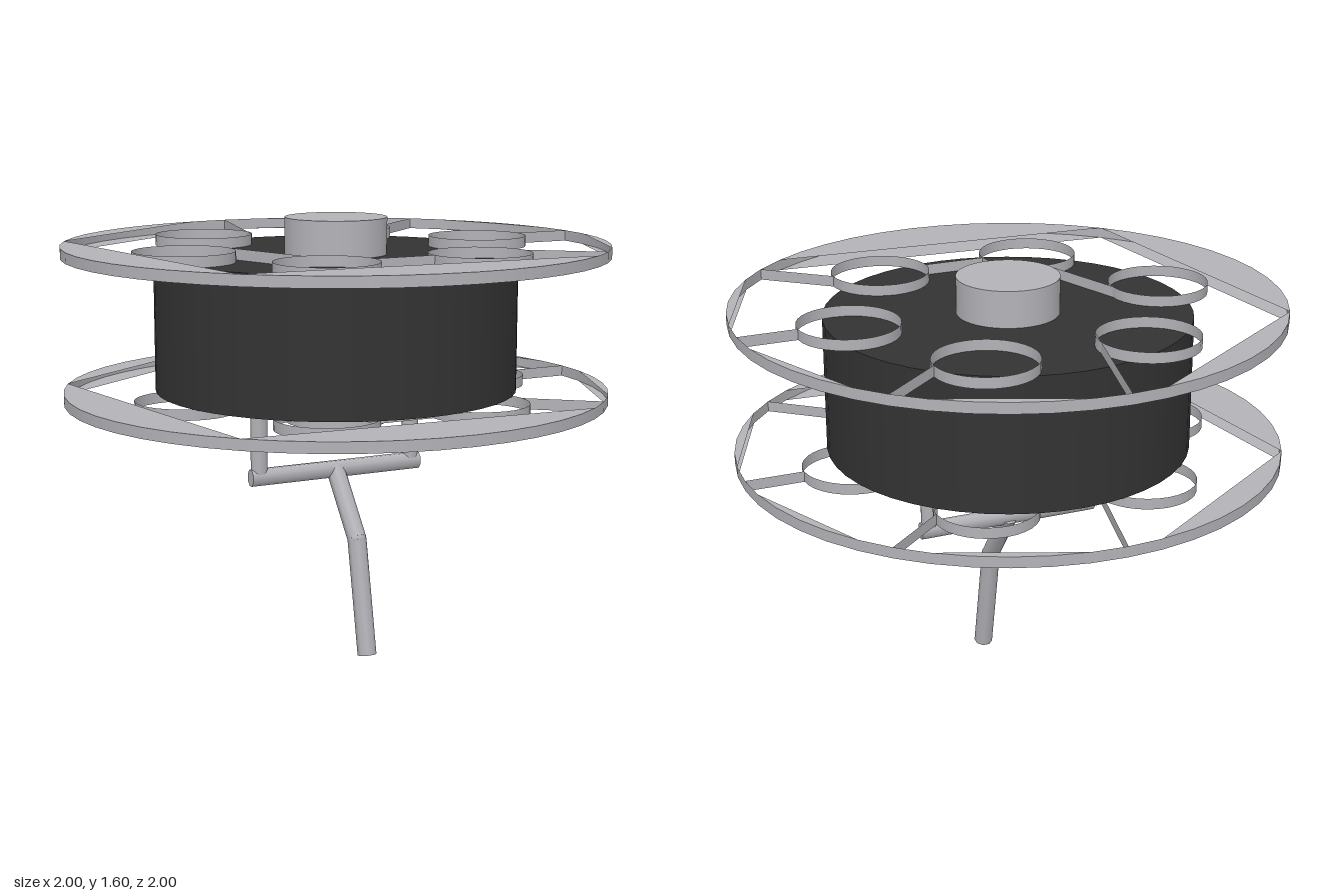
import * as THREE from 'three';

const grey = new THREE.MeshStandardMaterial({ color: 0xb3b3b8, side: THREE.DoubleSide });
grey.name = 'light grey';
const black = new THREE.MeshStandardMaterial({ color: 0x333333 });
black.name = 'charcoal';

const SEG = 48, THICK = 0.04, HOLE_R = 0.184, HOLE_DIST = 0.6;

// Point on a circle; angles in degrees, counter-clockwise seen from above
const polar = (r, deg, cx = 0, cy = 0) => {
  const a = THREE.MathUtils.degToRad(deg);
  return new THREE.Vector2(cx + r * Math.cos(a), cy + r * Math.sin(a));
};
const holeCentre = (deg) => polar(HOLE_DIST, deg);
const onHole = (hole, deg) => {
  const c = holeCentre(hole);
  return polar(HOLE_R, deg, c.x, c.y);
};

function add(parent, name, geometry, material, x = 0, y = 0, z = 0) {
  const mesh = new THREE.Mesh(geometry, material);
  mesh.name = name;
  mesh.position.set(x, y, z);
  parent.add(mesh);
  return mesh;
}

// Cylinder between two points
function rod(parent, name, a, b, radius) {
  const dir = b.clone().sub(a);
  const geo = new THREE.CylinderGeometry(radius, radius, dir.length(), 8);
  geo.rotateY(Math.PI / 8);
  const mesh = add(parent, name, geo, grey);
  mesh.position.copy(a).add(b).multiplyScalar(0.5);
  mesh.quaternion.setFromUnitVectors(new THREE.Vector3(0, 1, 0), dir.normalize());
  return mesh;
}

// Flat piece of the flange between the rim and a chord
function rimSegment(from, to) {
  const pts = [];
  for (let d = from; d <= to + 0.01; d += 360 / SEG) pts.push(polar(1, d));
  return new THREE.ShapeGeometry(new THREE.Shape(pts)).rotateX(-Math.PI / 2);
}

// Open flange: rim band, six hole bands, thin ribs and rim segments
function flange(name, y) {
  const g = new THREE.Group();
  g.name = name;
  g.position.y = y;
  const band = (r, n) => new THREE.CylinderGeometry(r, r, THICK, n, 1, true);
  add(g, 'rim', band(1, SEG), grey);

  for (let d = 0; d < 360; d += 60) {
    const c = holeCentre(d);
    add(g, 'holeBand', band(HOLE_R, 32), grey, c.x, 0, -c.y);
  }

  const ribs = [
    [onHole(0, 0), polar(1, 0)],
    [onHole(60, 0), polar(1, 45)],
    [onHole(120, 330), polar(1, 90)],
    [onHole(300, 0), polar(1, 315)],
    [onHole(240, 0), onHole(300, 180)],
    [onHole(180, 0), onHole(240, 90)],
  ];
  for (const [a, b] of ribs) {
    const d = b.clone().sub(a);
    const rib = add(g, 'rib', new THREE.PlaneGeometry(d.length(), THICK), grey,
      (a.x + b.x) / 2, 0, -(a.y + b.y) / 2);
    rib.rotation.y = d.angle();
  }

  const spans = [[97.5, 150], [150, 225], [225, 307.5], [52.5, 82.5], [7.5, 37.5], [322.5, 352.5]];
  for (const [from, to] of spans) {
    for (const side of [-1, 1]) {
      const geo = rimSegment(from, to);
      if (side < 0) geo.rotateX(Math.PI).scale(1, 1, -1).computeVertexNormals();
      // mirrored plate faces downwards
      if (side < 0) {
        const idx = geo.index.array;
        const up = geo.attributes.normal.getY(0) > 0;
        if (up) for (let i = 0; i < idx.length; i += 3) [idx[i], idx[i + 1]] = [idx[i + 1], idx[i]];
        geo.computeVertexNormals();
      }
      add(g, 'rimSegment', geo, grey, 0, side * THICK / 2, 0);
    }
  }
  return g;
}

export function createModel() {
  const model = new THREE.Group();
  model.name = 'reel';

  // Wound drum and central hub
  add(model, 'drum', new THREE.CylinderGeometry(0.665, 0.665, 0.495, SEG), black, 0, 1.2175, 0);
  add(model, 'hub', new THREE.CylinderGeometry(0.187, 0.187, 0.755, SEG), grey, 0, 1.2225, 0);

  model.add(flange('lowerFlange', 0.953), flange('upperFlange', 1.485));

  // Fork under the reel
  const V = (x, y, z) => new THREE.Vector3(x, y, z);
  for (const x of [-0.315, 0.315]) {
    rod(model, 'forkPost', V(x, 0.66, 0), V(x, 0.94, 0), 0.032).scale.z = 0.8;
  }
  rod(model, 'crossbar', V(-0.35, 0.66, 0), V(0.35, 0.66, 0), 0.033).scale.z = 0.8;

  // Bent handle
  const elbow = V(0, 0.43, 0.17);
  rod(model, 'handleUpper', V(0, 0.66, -0.005), elbow, 0.035);
  rod(model, 'handleLower', elbow, V(0, 0.007, 0.252), 0.035);
  add(model, 'handleElbow', new THREE.SphereGeometry(0.034, 12, 8), grey, 0, elbow.y, elbow.z);

  return model;
}
